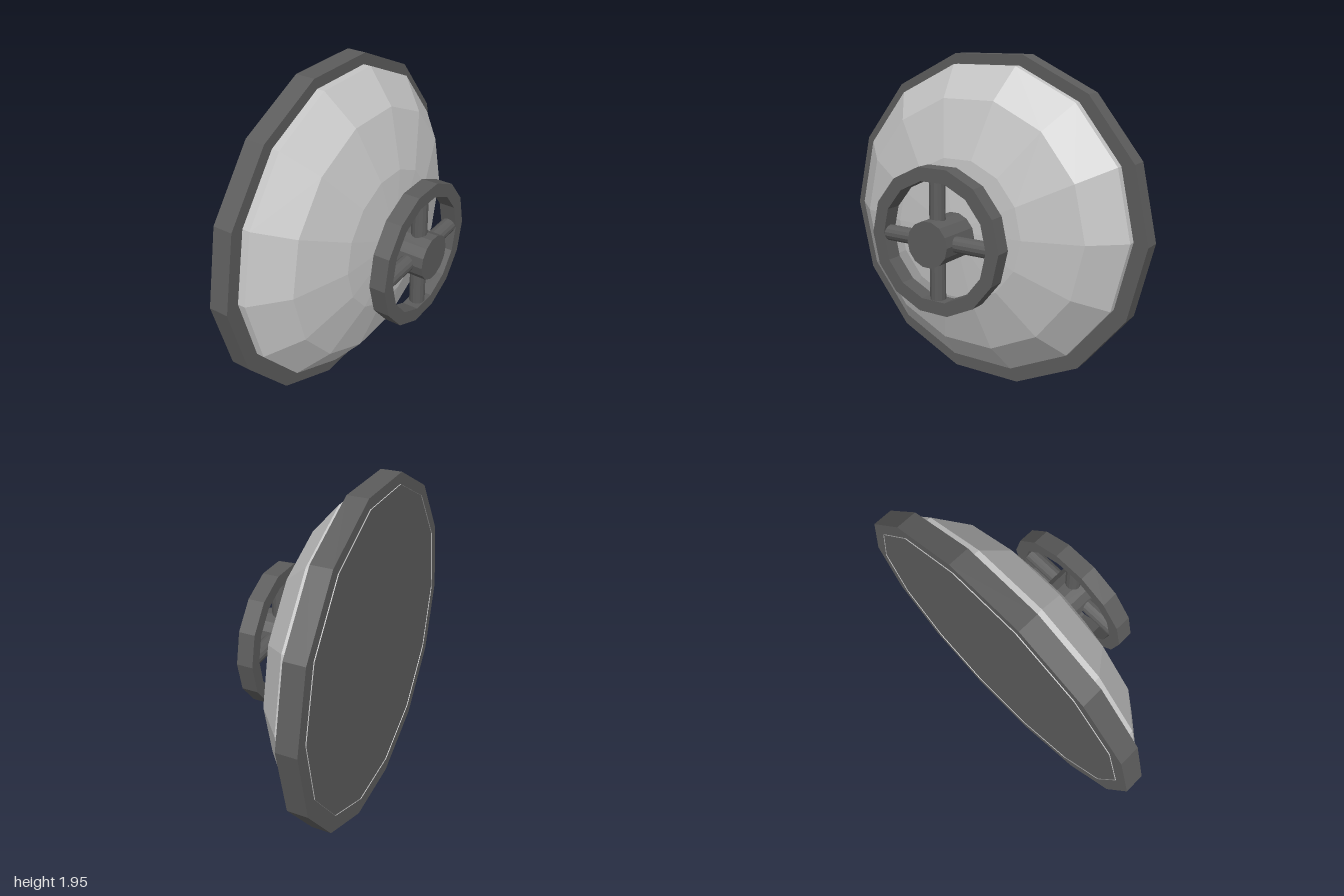
import * as THREE from 'three';

const SIDES = 14;
const AXIS_Y = 0.975;

const darkMetal = new THREE.MeshStandardMaterial({ color: 0x5c5c5c });
const lightMetal = new THREE.MeshStandardMaterial({ color: 0xc4c4c4 });
darkMetal.name = 'darkMetal';
lightMetal.name = 'lightMetal';
for (const m of [darkMetal, lightMetal]) m.flatShading = true;
lightMetal.side = THREE.DoubleSide;

export function createModel() {
  const group = new THREE.Group();

  const add = (name, geometry, material, y = AXIS_Y) => {
    const mesh = new THREE.Mesh(geometry, material);
    mesh.name = name;
    mesh.position.y = y;
    group.add(mesh);
    return mesh;
  };

  // Solid drum along x, from x0 to x1
  const drum = (radius, x0, x1) =>
    new THREE.CylinderGeometry(radius, radius, x1 - x0, SIDES)
      .rotateZ(-Math.PI / 2)
      .translate((x0 + x1) / 2, 0, 0);

  // Profile of [radius, x] pairs turned around the x axis
  const turned = (profile) =>
    new THREE.LatheGeometry(profile.map(([r, x]) => new THREE.Vector2(r, x)), SIDES)
      .rotateZ(-Math.PI / 2);

  // Thick backing plate forming the rim
  add('rimPlate', drum(1, -0.355, -0.24), darkMetal);

  // Faceted domed door, set slightly above the rim centre
  add('dome', turned([
    [0.918, -0.36], [0.918, -0.195], [0.735, -0.035], [0.41, 0.07], [0, 0.107],
  ]), lightMetal, 0.995);

  // Hand wheel: hub, ring and four spokes
  add('wheelHub', drum(0.13, 0.03, 0.355), darkMetal);
  add('wheelRing', turned([
    [0.415, 0.21], [0.415, 0.305], [0.338, 0.305], [0.338, 0.21], [0.415, 0.21],
  ]), darkMetal);
  for (let i = 0; i < 4; i++) {
    const spoke = new THREE.CylinderGeometry(0.045, 0.045, 0.26, SIDES)
      .translate(0, 0.22, 0)
      .rotateX(i * Math.PI / 2)
      .translate(0.257, 0, 0);
    add('wheelSpoke' + (i + 1), spoke, darkMetal);
  }

  return group;
}
